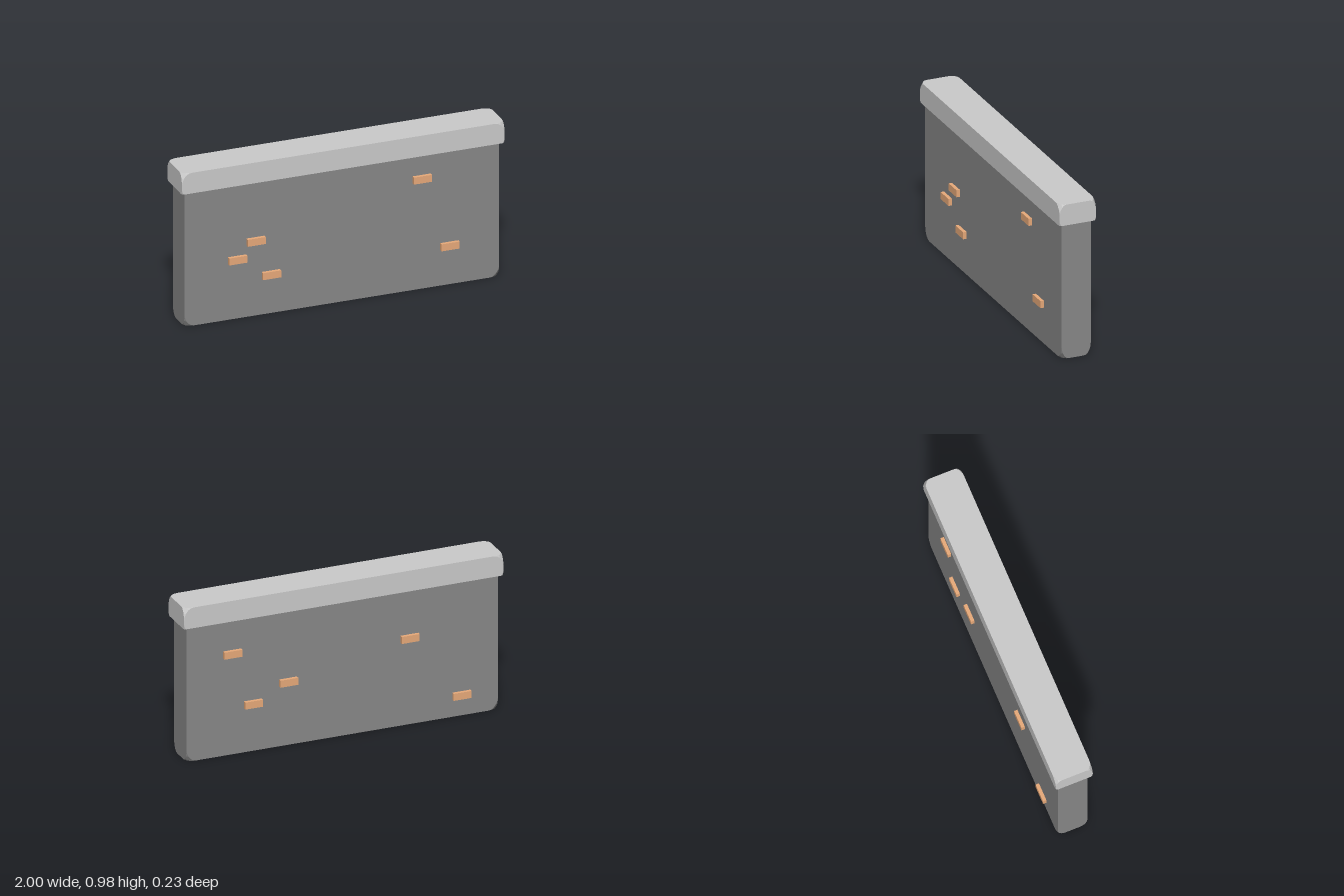
import * as THREE from 'three';
import { ConvexGeometry } from 'three/addons/geometries/ConvexGeometry.js';

const material = (color) => new THREE.MeshStandardMaterial({ color, flatShading: true });

// Box whose eight corners are worn away; cut = [x, y, z] reach along each edge, null keeps it sharp.
function wornBlock(name, hx, y0, y1, hz, topCut, bottomCut, mat) {
  const points = [];
  const steps = 5;
  for (const [y, sy, cut] of [[y1, 1, topCut], [y0, -1, bottomCut]]) {
    for (const sx of [-1, 1]) for (const sz of [-1, 1]) {
      const add = (a, b, c) => points.push(new THREE.Vector3(sx * (hx - a), y - sy * b, sz * (hz - c)));
      if (!cut) { add(0, 0, 0); continue; }
      const [cx, cy, cz] = cut;
      // one arc on each of the three faces meeting at the corner
      for (let i = 0; i < steps; i++) {
        const t = (i / steps) * Math.PI / 2;
        const u = 1 - Math.cos(t), v = 1 - Math.sin(t);
        add(cx * u, cy * v, 0);
        add(0, cy * u, cz * v);
        add(cx * v, 0, cz * u);
      }
    }
  }
  const mesh = new THREE.Mesh(new ConvexGeometry(points), mat);
  mesh.name = name;
  return mesh;
}

export function createModel() {
  const model = new THREE.Group();
  model.name = 'brickWall';

  // Wall slab and overhanging coping
  model.add(wornBlock('wallBody', 0.975, 0, 0.845, 0.092, null, [0.06, 0.08, 0.045], material(0x888888)));
  model.add(wornBlock('copingStone', 1, 0.845, 0.975, 0.115, [0.06, 0.08, 0.04], [0.015, 0.045, 0.015], material(0xcccccc)));

  // Exposed bricks, [x, y] on each face
  const brickMat = material(0xe8aa7a);
  const brickGeo = new THREE.BoxGeometry(0.112, 0.044, 0.04);
  const faces = {
    front: [[0.495, 0.695], [-0.535, 0.472], [-0.65, 0.373], [-0.44, 0.246], [0.665, 0.246]],
    back: [[0.69, 0.634], [-0.42, 0.543], [0.34, 0.398], [0.56, 0.298], [-0.745, 0.13]],
  };
  for (const [side, spots] of Object.entries(faces)) {
    const group = new THREE.Group();
    group.name = side + 'Bricks';
    spots.forEach(([x, y], i) => {
      const brick = new THREE.Mesh(brickGeo, brickMat);
      brick.name = side + 'Brick' + (i + 1);
      brick.position.set(x, y, side === 'front' ? 0.093 : -0.093);
      group.add(brick);
    });
    model.add(group);
  }
  return model;
}
